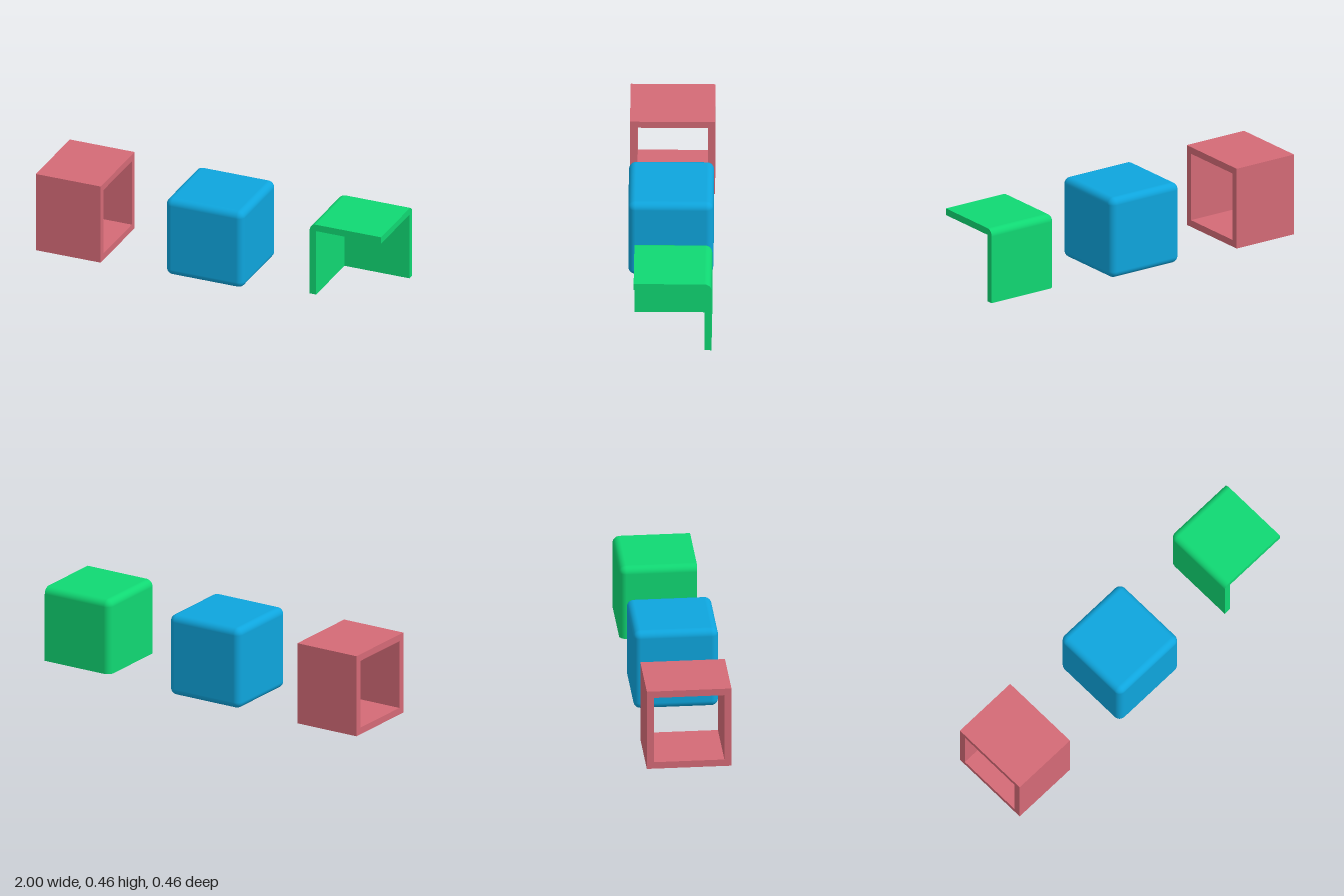
import * as THREE from 'three';
import { mergeGeometries } from 'three/addons/utils/BufferGeometryUtils.js';
import { RoundedBoxGeometry } from 'three/addons/geometries/RoundedBoxGeometry.js';

const SIZE = 0.455;      // outer edge of each cube
const T = 0.038;         // wall thickness and edge radius
const L = SIZE - T;      // cut cube edge
const STEPS = 8;         // segments per quarter round

function part(name, geometry, color) {
  const mesh = new THREE.Mesh(geometry, new THREE.MeshStandardMaterial({ color }));
  mesh.name = name;
  return mesh;
}

function square(half, Type) {
  const s = new Type();
  s.moveTo(-half, -half).lineTo(half, -half).lineTo(half, half).lineTo(-half, half).closePath();
  return s;
}

// Square sleeve, open at both ends along x
function sleeveGeometry() {
  const outline = square(SIZE / 2, THREE.Shape);
  outline.holes.push(square(SIZE / 2 - T, THREE.Path));
  const depth = SIZE - 2 * T;
  return new THREE.ExtrudeGeometry(outline, { depth, bevelEnabled: false })
    .rotateY(Math.PI / 2)
    .translate(-1, SIZE / 2, 0);
}

// Three walls meeting at the origin: square inside, rounded outside, open towards + on each axis
function cornerGeometry() {
  const W = L - T, q = Math.PI / 2, pieces = [];
  const axis = new THREE.Vector3(1, 1, 1).normalize();
  for (let i = 0; i < 3; i++) {
    const set = [
      new THREE.PlaneGeometry(W, W).rotateX(Math.PI).translate(W / 2, W / 2, -T),   // outer face
      new THREE.PlaneGeometry(W, W).translate(W / 2, W / 2, 0),                     // inner face
      new THREE.PlaneGeometry(T, W).rotateY(q).translate(W, W / 2, -T / 2),         // rims
      new THREE.PlaneGeometry(W, T).rotateX(-q).translate(W / 2, W, -T / 2),
      new THREE.CylinderGeometry(T, T, W, STEPS, 1, true, 3 * q, q)                 // rounded edge
        .rotateX(q).translate(0, 0, W / 2),
      new THREE.CircleGeometry(T, STEPS, Math.PI, q).translate(0, 0, W),            // edge end
    ];
    const turn = new THREE.Matrix4().makeRotationAxis(axis, i * Math.PI * 2 / 3);
    set.forEach(g => pieces.push(g.applyMatrix4(turn)));
  }
  // rounded outer corner
  pieces.push(new THREE.SphereGeometry(T, STEPS, STEPS, 3 * q, q, q, q));
  return mergeGeometries(pieces);
}

export function createModel() {
  const model = new THREE.Group();
  model.name = 'cubeStudies';

  model.add(part('openSleeve', sleeveGeometry(), 0xd46a76));

  const cube = part('roundedCube', new RoundedBoxGeometry(SIZE, SIZE, SIZE, STEPS, T), 0x0ea5dd);
  cube.position.set(-0.02, SIZE / 2, 0);
  model.add(cube);

  // opens to the left, the front and below
  const corner = part('cornerShell', cornerGeometry(), 0x10d873);
  corner.rotation.x = Math.PI / 2;
  corner.position.set(1 - L + T, SIZE - T, -SIZE / 2 + T);
  model.add(corner);

  return model;
}
